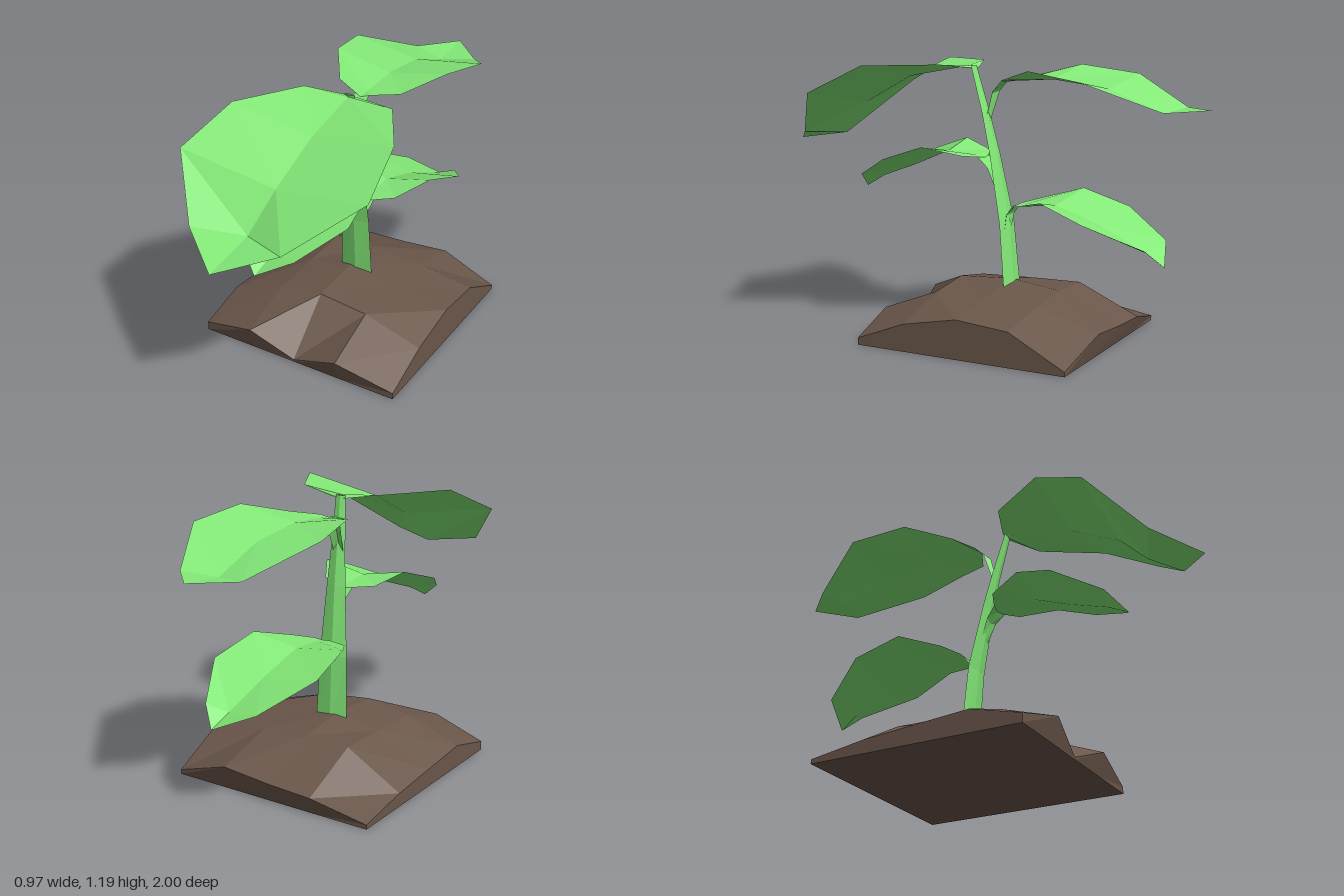
import * as THREE from 'three';

const green = new THREE.MeshStandardMaterial({ color: 0x84ea78, flatShading: true, side: THREE.DoubleSide });
const brown = new THREE.MeshStandardMaterial({ color: 0x6b574b, flatShading: true, side: THREE.DoubleSide });

// Joins rows of points into a faceted sheet; closed wraps each row into a ring
function loft(name, rows, material, closed = false) {
  const n = rows[0].length;
  const index = [];
  for (let r = 0; r < rows.length - 1; r++) {
    for (let c = 0; c < (closed ? n : n - 1); c++) {
      const a = r * n + c, b = r * n + (c + 1) % n;
      index.push(a, b, b + n, a, b + n, a + n);
    }
  }
  const indexed = new THREE.BufferGeometry();
  indexed.setAttribute('position', new THREE.Float32BufferAttribute(rows.flat(2), 3));
  indexed.setIndex(index);
  const geometry = indexed.toNonIndexed();
  geometry.computeVertexNormals();
  const mesh = new THREE.Mesh(geometry, material);
  mesh.name = name;
  return mesh;
}

// Folded leaf: each section is [edgeZ, edgeY, leftX, rightX, ribX, ribY, ribZ]
function leaf(name, sections) {
  // a row running away to -z is swapped so that the top stays the front face
  const toBack = sections[sections.length - 1][0] < 0;
  const rows = sections.map(([z, y, x0, x1, xm, ym, zm]) => {
    const row = [[x0, y, z], [xm, ym, zm], [x1, y, z]];
    return toBack ? row : row.reverse();
  });
  return loft(name, rows.map((r) => r.reverse()), green);
}

function soil() {
  const group = new THREE.Group();
  group.name = 'soilMound';
  const xs = [-0.485, -0.23, -0.02, 0.21, 0.48];
  const zs = [0.4, 0.17, -0.08, -0.32, -0.57];
  const heights = [
    [0.04, 0.11, 0.01, 0.1, 0.03],
    [0.1, 0.19, 0.225, 0.2, 0.12],
    [0.08, 0.2, 0.24, 0.205, 0.17],
    [0.06, 0.205, 0.21, 0.19, 0.15],
    [0.02, 0.08, 0.09, 0.11, 0.02],
  ];
  // the front and back rims bulge out where they are high
  const bulge = (r, h) => (h < 0.08 ? 0 : r === 0 ? 0.03 : r === 4 ? -0.03 : 0);
  const top = heights.map((row, r) => row.map((h, c) => [xs[c], h, zs[r] + bulge(r, h)]));
  group.add(loft('soilTop', top, brown));

  // rim of the top in ring order, dropped to the ground
  const rim = [
    ...top[0].slice(0, 4),
    ...top.slice(0, 4).map((r) => r[4]),
    ...top[4].slice(1).reverse(),
    ...top.slice(1).reverse().map((r) => r[0]),
  ];
  const clampZ = (z) => Math.min(0.4, Math.max(-0.57, z));
  const foot = rim.map(([x, , z]) => [x, 0, clampZ(z)]);
  group.add(loft('soilSides', [foot, rim], brown, true));

  const bottom = [[[-0.485, 0, -0.57], [0.48, 0, -0.57]], [[-0.485, 0, 0.4], [0.48, 0, 0.4]]];
  group.add(loft('soilBottom', bottom, brown));
  return group;
}

// Flattened diamond stem leaning forward: [y, z, centreX, halfWidth, halfDepth]
function stem() {
  const sections = [
    [0.19, -0.1, 0.005, 0.08, 0.012],
    [0.5, -0.075, 0.01, 0.07, 0.014],
    [0.8, -0.025, 0.028, 0.048, 0.012],
    [0.97, 0.01, 0.04, 0.036, 0.01],
    [1.18, 0.06, 0.06, 0.025, 0.006],
  ];
  const rows = sections.map(([y, z, x, w, d]) => [
    [x - w, y, z], [x, y, z + d], [x + w, y, z], [x, y, z - d],
  ]);
  return loft('stem', rows, green, true);
}

export function createModel() {
  const model = new THREE.Group();
  model.name = 'seedling';
  model.add(soil(), stem());

  model.add(leaf('topFrontLeaf', [
    [0.05, 1.17, 0.03, 0.09, 0.06, 1.165, 0.06],
    [0.11, 1.193, -0.13, 0.29, 0.065, 1.178, 0.08],
    [0.38, 1.19, -0.3, 0.45, 0.075, 1.125, 0.37],
    [0.63, 1.07, -0.38, 0.485, 0.06, 1.0, 0.61],
    [0.835, 0.87, -0.195, 0.23, 0.02, 0.85, 0.75],
    [1.0, 0.813, 0.02, 0.02, 0.02, 0.813, 1.0],
  ]));

  model.add(leaf('topBackLeaf', [
    [0.005, 0.94, 0.01, 0.06, 0.035, 0.94, 0.015],
    [-0.035, 1.07, 0.0, 0.07, 0.035, 1.06, -0.015],
    [-0.08, 1.12, 0.0, 0.07, 0.035, 1.11, -0.07],
    [-0.14, 1.13, -0.11, 0.19, 0.04, 1.118, -0.13],
    [-0.32, 1.18, -0.23, 0.31, 0.04, 1.13, -0.31],
    [-0.57, 1.145, -0.275, 0.355, 0.04, 1.1, -0.56],
    [-0.85, 1.025, -0.11, 0.19, 0.04, 1.01, -0.8],
    [-1.0, 1.03, 0.04, 0.04, 0.04, 1.03, -1.0],
  ]));

  model.add(leaf('lowerFrontLeaf', [
    [-0.045, 0.65, 0.0, 0.06, 0.03, 0.65, -0.04],
    [-0.01, 0.74, -0.01, 0.07, 0.03, 0.73, -0.015],
    [0.03, 0.785, -0.02, 0.08, 0.03, 0.78, 0.02],
    [0.07, 0.795, -0.11, 0.15, 0.03, 0.788, 0.06],
    [0.22, 0.835, -0.17, 0.245, 0.035, 0.8, 0.2],
    [0.4, 0.775, -0.22, 0.26, 0.02, 0.725, 0.38],
    [0.6, 0.68, -0.12, 0.13, 0.0, 0.66, 0.56],
    [0.665, 0.603, -0.02, -0.02, -0.02, 0.603, 0.665],
  ]));

  model.add(leaf('lowerBackLeaf', [
    [-0.08, 0.44, -0.01, 0.05, 0.02, 0.44, -0.07],
    [-0.1, 0.54, -0.015, 0.06, 0.025, 0.53, -0.08],
    [-0.135, 0.585, -0.02, 0.07, 0.03, 0.58, -0.13],
    [-0.18, 0.595, -0.12, 0.15, 0.03, 0.585, -0.17],
    [-0.34, 0.637, -0.22, 0.24, 0.03, 0.595, -0.32],
    [-0.55, 0.57, -0.235, 0.285, 0.04, 0.525, -0.54],
    [-0.77, 0.463, -0.1, 0.155, 0.06, 0.435, -0.74],
    [-0.83, 0.385, 0.08, 0.08, 0.08, 0.385, -0.83],
  ]));

  return model;
}
